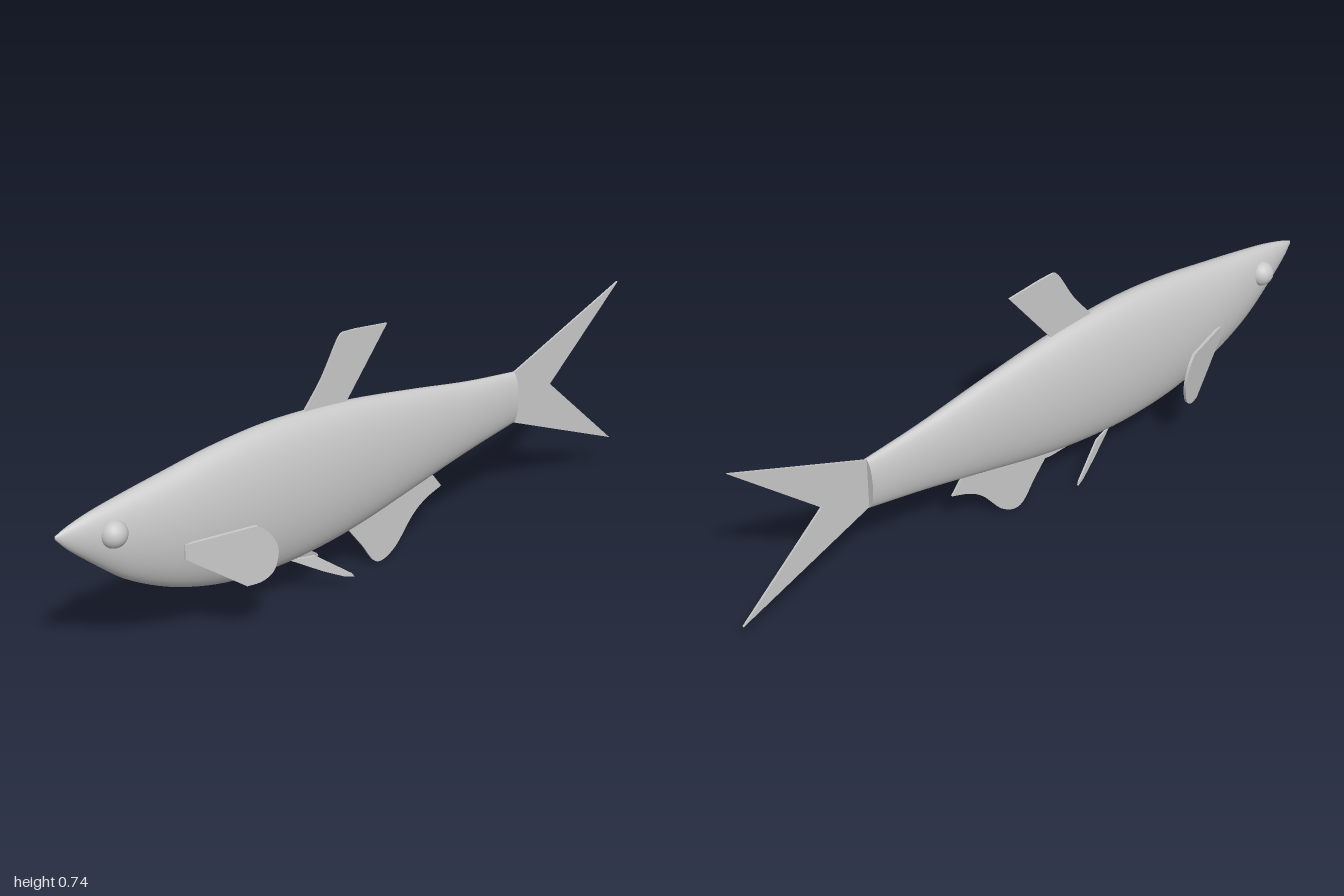
import * as THREE from 'three';

const grey = new THREE.MeshStandardMaterial({ color: 0xc8c8c8 });
grey.name = 'silver grey';

// Body stations: z, top y, bottom y, half width
const STATIONS = [
  [1, 0.447, 0.437, 0.003], [0.97, 0.459, 0.402, 0.014], [0.9, 0.478, 0.338, 0.032],
  [0.8, 0.496, 0.255, 0.051], [0.66, 0.518, 0.182, 0.067], [0.5, 0.542, 0.135, 0.076],
  [0.33, 0.554, 0.119, 0.079], [0.15, 0.547, 0.129, 0.075], [0, 0.53, 0.153, 0.067],
  [-0.2, 0.498, 0.199, 0.053], [-0.4, 0.463, 0.244, 0.038], [-0.58, 0.441, 0.278, 0.025],
];

// Loft of elliptical rings running from nose to tail, closed by a flat cap
function bodyGeometry(rows = 56, sides = 40) {
  const pick = (k) => new THREE.CatmullRomCurve3(
    STATIONS.map((s) => new THREE.Vector3(s[0], s[k], 0)));
  const top = pick(1), bottom = pick(2), width = pick(3);
  const pos = [], idx = [];
  const ring = (t) => {
    const a = top.getPoint(t), b = bottom.getPoint(t), w = width.getPoint(t).y;
    for (let j = 0; j < sides; j++) {
      const q = (j / sides) * Math.PI * 2;
      pos.push(w * Math.cos(q), (a.y + b.y) / 2 + ((a.y - b.y) / 2) * Math.sin(q), a.x);
    }
  };
  for (let i = 0; i <= rows; i++) ring(i / rows);
  for (let i = 0; i < rows; i++) {
    for (let j = 0; j < sides; j++) {
      const k = (j + 1) % sides, a = i * sides, b = a + sides;
      idx.push(a + j, b + j, a + k, b + j, b + k, a + k);
    }
  }
  // nose tip and tail cap; the cap has its own ring for a sharp edge
  const nose = pos.length / 3;
  pos.push(0, 0.442, 1);
  const cap = nose + 1;
  ring(1);
  const mid = pos.length / 3;
  pos.push(0, 0.36, -0.58);
  for (let j = 0; j < sides; j++) {
    const k = (j + 1) % sides;
    idx.push(nose, j, k, mid, cap + k, cap + j);
  }
  const geo = new THREE.BufferGeometry();
  geo.setAttribute('position', new THREE.Float32BufferAttribute(pos, 3));
  geo.setIndex(idx);
  geo.computeVertexNormals();
  return geo;
}

// Thin fin from an outline drawn in (z, y); offset(z, y) leans it sideways
function finGeometry(draw, thick, offset = () => 0) {
  const shape = new THREE.Shape();
  draw({
    move: (z, y) => shape.moveTo(-z, y),
    line: (z, y) => shape.lineTo(-z, y),
    curve: (pts) => shape.splineThru(pts.map(([z, y]) => new THREE.Vector2(-z, y))),
  });
  const geo = new THREE.ExtrudeGeometry(shape, { depth: thick, bevelEnabled: false, curveSegments: 8 });
  geo.translate(0, 0, -thick / 2).rotateY(Math.PI / 2);
  const p = geo.attributes.position;
  for (let i = 0; i < p.count; i++) p.setX(i, p.getX(i) + offset(p.getZ(i), p.getY(i)));
  geo.computeVertexNormals();
  return geo;
}

const dorsal = (s) => {
  s.move(0.22, 0.53); s.line(0.2, 0.553);
  s.curve([[0.14, 0.63], [0.085, 0.725], [0.065, 0.742]]);
  s.line(0.02, 0.74); s.line(-0.09, 0.727); s.line(0.06, 0.53); s.line(0.07, 0.51);
};
const tail = (s) => {
  s.move(-0.57, 0.437); s.line(-0.585, 0.441); s.line(-1, 0.615);
  s.line(-0.73, 0.36); s.line(-1, 0.102); s.line(-0.585, 0.278); s.line(-0.57, 0.28);
};
const anal = (s) => {
  s.move(0.06, 0.17); s.line(0.053, 0.145);
  s.curve([[0, 0.075], [-0.055, 0.003], [-0.12, 0.022], [-0.19, 0.105], [-0.24, 0.142], [-0.3, 0.165]]);
  s.line(-0.26, 0.218); s.line(-0.25, 0.24);
};
const pectoral = (s) => {
  s.move(0.655, 0.33); s.line(0.475, 0.355);
  s.curve([[0.445, 0.328], [0.425, 0.28], [0.435, 0.22], [0.465, 0.19], [0.505, 0.181]]);
  s.line(0.655, 0.288);
};
const pelvic = (s) => {
  s.move(0.27, 0.127); s.line(0.2, 0.127); s.line(0.1, 0.052);
  s.line(0.094, 0.041); s.line(0.12, 0.046); s.line(0.18, 0.075);
};

export function createModel() {
  const model = new THREE.Group();
  model.name = 'fish';
  const add = (name, geo) => {
    const mesh = new THREE.Mesh(geo, grey);
    mesh.name = name;
    model.add(mesh);
    return mesh;
  };

  add('body', bodyGeometry());
  add('dorsalFin', finGeometry(dorsal, 0.006));
  add('tailFin', finGeometry(tail, 0.006));
  add('analFin', finGeometry(anal, 0.006));

  // Paired parts
  for (const [side, s] of [['left', 1], ['right', -1]]) {
    add(side + 'Eye', new THREE.SphereGeometry(0.038, 24, 16)).position.set(s * 0.032, 0.416, 0.848);
    add(side + 'PectoralFin', finGeometry(pectoral, 0.009, (z) => s * (0.066 + (0.65 - z) * 0.42)));
    add(side + 'PelvicFin', finGeometry(pelvic, 0.006,
      (z, y) => s * (0.016 + (0.265 - z) * 0.338 + (0.125 - y) * 0.063)));
  }
  return model;
}
